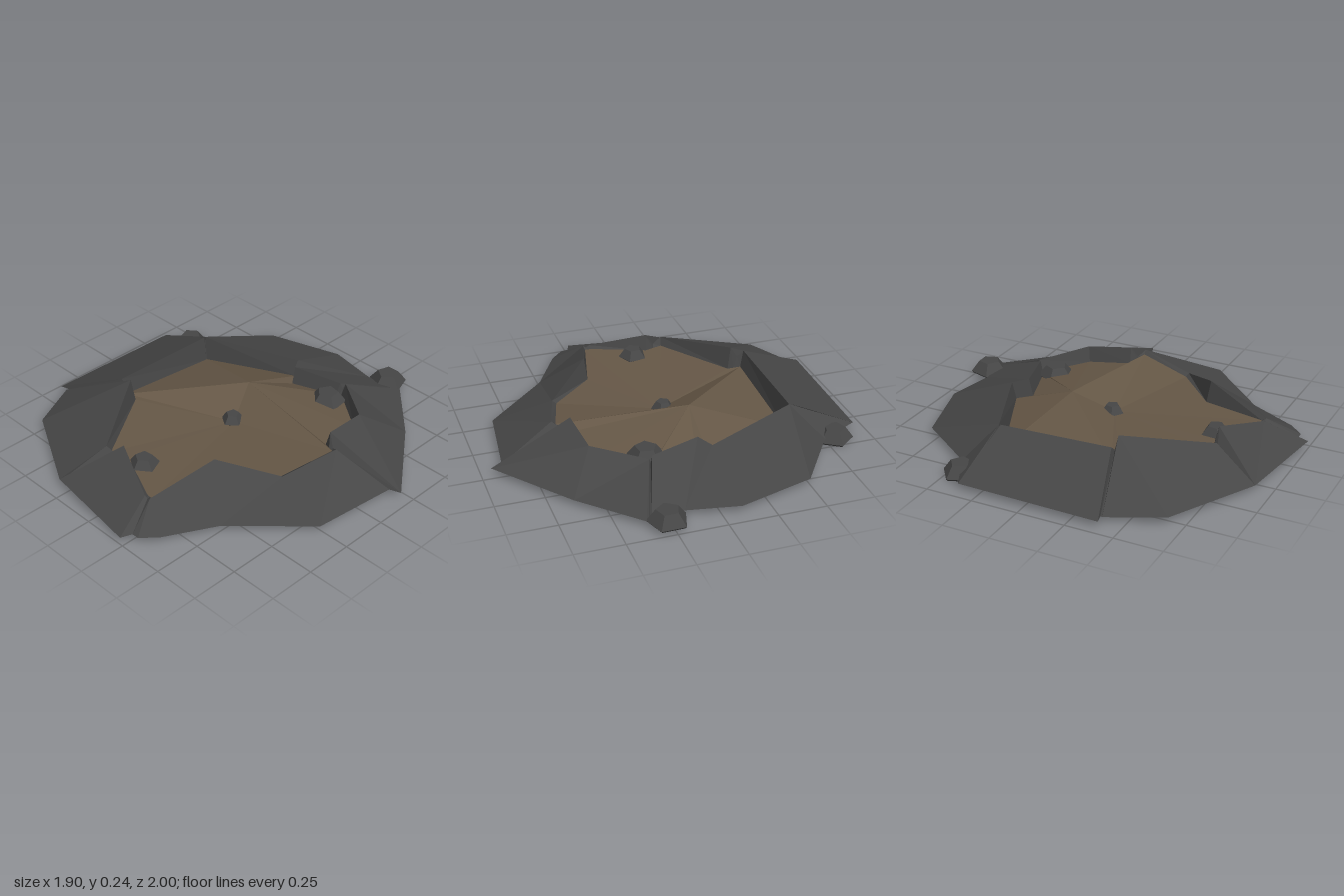
import * as THREE from 'three';

const BASE = 0.035;

// Turns a list of triangles (arrays of Vector3) into flat-shaded geometry
function fromTriangles(tris) {
  const g = new THREE.BufferGeometry().setFromPoints(tris.flat());
  g.computeVertexNormals();
  return g;
}

// Joins two lines of points with triangles, always along the shorter diagonal
function zip(a, b) {
  const tris = [];
  let i = 0, j = 0;
  while (i < a.length - 1 || j < b.length - 1) {
    const stepA = j === b.length - 1 ||
      (i < a.length - 1 && a[i + 1].distanceTo(b[j]) < a[i].distanceTo(b[j + 1]));
    if (stepA) {
      tris.push([a[i], b[j], a[i + 1]]);
      i++;
    } else {
      tris.push([a[i], b[j], b[j + 1]]);
      j++;
    }
  }
  return tris;
}

// Five-sided stone built from three rings, closed above and below
function rockGeometry(r, h, turn) {
  const rings = [[0.9, 0], [1, 0.15], [0.56, 1]].map(([s, t]) =>
    Array.from({ length: 5 }, (_, i) => {
      const a = turn + i * Math.PI * 0.4;
      return new THREE.Vector3(Math.cos(a) * r * s, h * t, Math.sin(a) * r * s);
    }));
  const tris = [];
  const bottom = new THREE.Vector3(), top = new THREE.Vector3(0, h, 0);
  for (let i = 0; i < 5; i++) {
    const j = (i + 1) % 5;
    for (let k = 0; k < 2; k++) {
      const a = rings[k], b = rings[k + 1];
      tris.push([a[i], b[i], b[j]], [a[i], b[j], a[j]]);
    }
    tris.push([rings[2][i], top, rings[2][j]], [rings[0][i], rings[0][j], bottom]);
  }
  return fromTriangles(tris);
}

export function createModel() {
  const model = new THREE.Group();
  model.name = 'crater';
  const stone = new THREE.MeshStandardMaterial({ name: 'dark stone', color: 0x464646, side: THREE.DoubleSide, flatShading: true });
  const earth = new THREE.MeshStandardMaterial({ name: 'brown earth', color: 0x655746, side: THREE.DoubleSide, flatShading: true });
  const add = (name, geometry, material) => {
    const mesh = new THREE.Mesh(geometry, material);
    mesh.name = name;
    model.add(mesh);
    return mesh;
  };
  const v = ([x, z, y = BASE]) => new THREE.Vector3(x, y, z);

  // Ring of tilted slabs: outer points [x, z], inner points [x, z, y, floor y]
  const slabs = [
    ['sideSlab', [[-0.94, -0.36], [-0.955, 0.4]],
      [[-0.58, -0.33, 0.195, 0.06], [-0.575, 0.28, 0.21, 0.12]]],
    ['frontCornerSlab', [[-0.91, 0.4], [-0.78, 0.67], [-0.32, 0.92]],
      [[-0.5, 0.28, 0.24, 0.12], [-0.23, 0.68, 0.165, 0.12]]],
    ['frontSlab', [[-0.32, 0.92], [0.23, 0.995]],
      [[-0.13, 0.65, 0.205, 0.12], [0.165, 0.775, 0.13, 0.115]]],
    ['longSlab', [[0.29, 0.935], [0.36, 0.86], [0.5, 0.6], [0.84, 0.26], [0.89, -0.18]],
      [[0.2, 0.775, 0.13, 0.115], [0.29, 0.43, 0.23, 0.11], [0.53, 0.2, 0.13, 0.115], [0.61, -0.1, 0.18, 0.16]]],
    ['wideSlab', [[0.95, -0.21], [0.64, -0.62], [0.37, -0.9]],
      [[0.525, -0.15, 0.215, 0.13], [0.5, -0.4, 0.185, 0.1], [0.25, -0.58, 0.165, 0.1]]],
    ['backSlab', [[0.34, -0.89], [0.17, -0.87], [-0.1, -0.92], [-0.5, -0.8], [-0.73, -0.47], [-0.94, -0.36]],
      [[0.23, -0.56, 0.17, 0.1], [-0.03, -0.485, 0.185, 0.09], [-0.08, -0.56, 0.17, 0.08], [-0.58, -0.34, 0.195, 0.06]]],
  ].map(([name, outer, inner]) => ({
    name, outer: outer.map(v), inner: inner.map(v), floors: inner.map((p) => p[3]),
  }));

  // Slab tops and the sunken cracks between them; collects the inner rim
  const rim = [], floors = [];
  slabs.forEach(({ name, outer, inner, floors: levels }, k) => {
    add(name, fromTriangles(zip(inner, outer)), stone);
    const next = slabs[(k + 1) % slabs.length];
    const a = inner.at(-1), b = next.inner[0];
    const c = outer.at(-1), d = next.outer[0];
    const level = (levels.at(-1) + next.floors[0]) / 2;
    const dipIn = a.clone().lerp(b, 0.5);
    dipIn.y = Math.max(Math.min(a.y, b.y) - 0.03, level + 0.005);
    const dipOut = c.clone().lerp(d, 0.5).multiplyScalar(0.97).setY(BASE);
    add('crack', fromTriangles([...zip([a, dipIn], [c, dipOut]), ...zip([dipIn, b], [dipOut, d])]), stone);
    rim.push(...inner, dipIn);
    floors.push(...levels, level);
  });

  // Broken inner wall from the rim down to the floor edge
  const foot = rim.map((p, i) => {
    const s = 1 - 0.022 / Math.hypot(p.x, p.z);
    return new THREE.Vector3(p.x * s, floors[i], p.z * s);
  });
  const count = rim.length;
  const wall = [];
  for (let i = 0; i < count; i++) {
    const j = (i + 1) % count;
    wall.push([foot[i], rim[i], rim[j]], [foot[i], rim[j], foot[j]]);
  }
  add('innerWall', fromTriangles(wall), stone);

  // Earth floor: a ridge peak behind a sunken middle
  const hub = v([-0.09, -0.19, 0.2]), middle = v([0, 0.01, 0.09]);
  const first = rim.indexOf(slabs[0].inner.at(-1));
  const last = rim.indexOf(slabs[3].inner.at(-1));
  const floor = [[hub, foot[first], middle], [hub, middle, foot[last]]];
  for (let i = 0; i < count; i++) {
    const centre = i >= first && i < last ? middle : hub;
    floor.push([centre, foot[i], foot[(i + 1) % count]]);
  }
  add('earthFloor', fromTriangles(floor), earth);

  // Loose stones: x, z, base height, radius, height, turn
  const rocks = [
    [0.27, -0.915, 0.02, 0.105, 0.07, 0.3],
    [-0.8, -0.43, 0, 0.1, 0.07, 0.9],
    [0.23, -0.46, 0.1, 0.1, 0.065, 0.5],
    [-0.015, 0.005, 0.085, 0.062, 0.05, 1.5],
    [-0.04, 0.6, 0.105, 0.08, 0.055, 0.2],
  ];
  for (const [x, z, y, r, h, turn] of rocks) {
    add('looseStone', rockGeometry(r, h, turn), stone).position.set(x, y, z);
  }
  return model;
}
